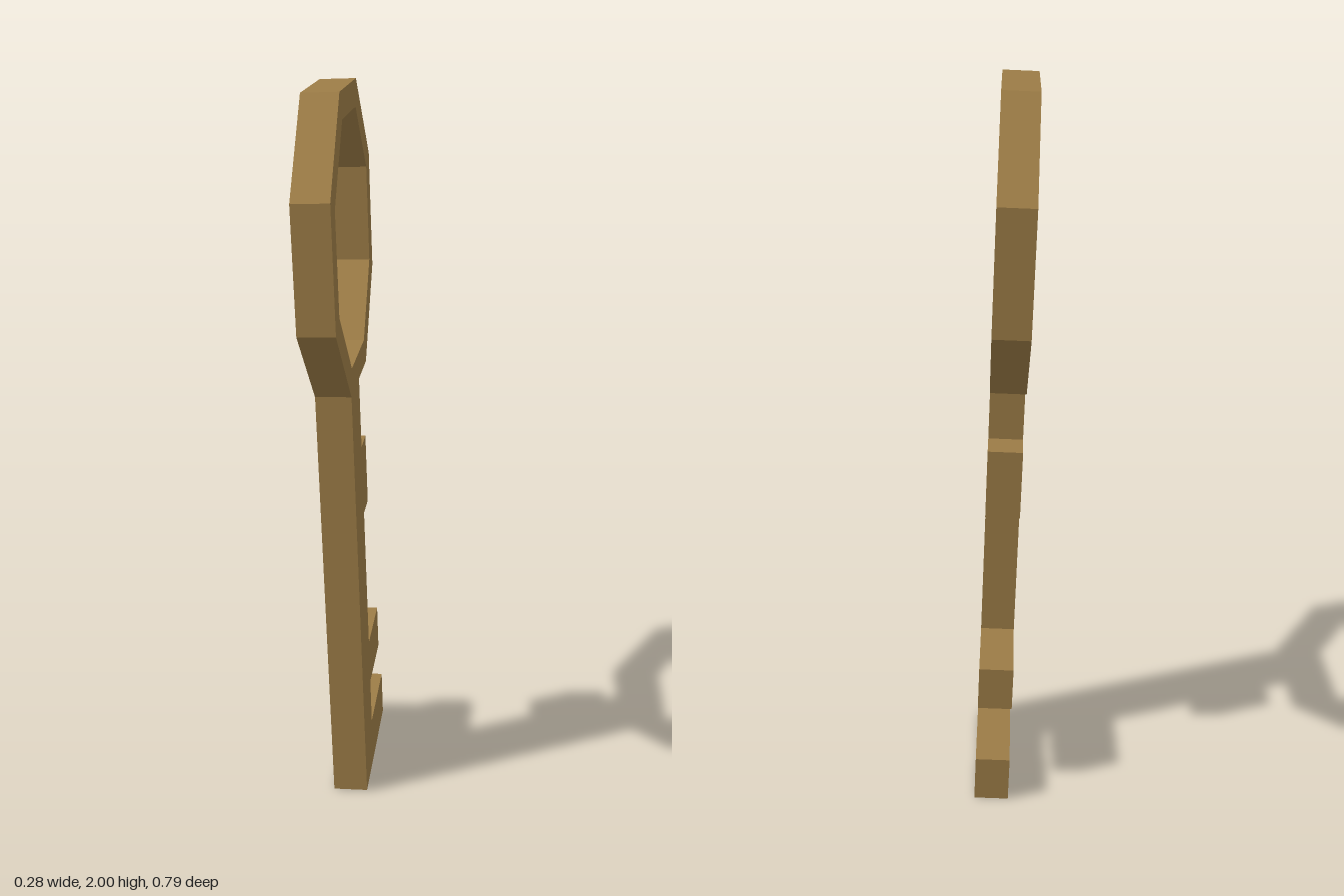
import * as THREE from 'three';

// Octagon corners with flat sides up, starting at the lower right, counterclockwise
function octagon(apothem, cy) {
  const r = apothem / Math.cos(Math.PI / 8);
  return Array.from({ length: 8 }, (_, i) => {
    const t = -Math.PI * 3 / 8 + i * Math.PI / 4;
    return new THREE.Vector2(r * Math.cos(t), cy + r * Math.sin(t));
  });
}

export function createModel() {
  const group = new THREE.Group();
  group.name = 'key';
  const bowY = 0.608, bottom = -0.998, depth = 0.097;

  // Bow outline, ending at its lower left corner where the shaft starts
  const bow = octagon(0.39, bowY);
  const shaftLeft = bow[7].x;
  const outline = [...bow, new THREE.Vector2(shaftLeft, bottom)];

  // Teeth up the right side of the shaft: [low, high, reach]
  const teeth = [[bottom, -0.863, 0.279], [-0.727, -0.597, 0.222], [-0.182, 0.018, 0.091]];
  teeth.forEach(([low, high, reach], i) => {
    if (i > 0) outline.push(new THREE.Vector2(0, low));
    outline.push(new THREE.Vector2(reach, low), new THREE.Vector2(reach, high), new THREE.Vector2(0, high));
  });
  outline.push(new THREE.Vector2(0, bow[0].y));

  const shape = new THREE.Shape(outline);
  shape.holes.push(new THREE.Path(octagon(0.32, bowY).reverse()));
  const geometry = new THREE.ExtrudeGeometry(shape, { depth, bevelEnabled: false });
  geometry.translate(0, 0, -depth / 2);

  // Stand the flat key up, turned sideways and leaning slightly
  const up = new THREE.Vector3(-0.041, 1, 0.008).normalize();
  const face = new THREE.Vector3(0.977, 0.042, -0.21);
  const across = new THREE.Vector3().crossVectors(up, face).normalize();
  face.crossVectors(across, up);
  geometry.applyMatrix4(new THREE.Matrix4().makeBasis(across, up, face).setPosition(0.014, 1, -0.002));

  const material = new THREE.MeshStandardMaterial({ color: 0x9c7c46, flatShading: true });
  const mesh = new THREE.Mesh(geometry, material);
  mesh.name = 'keyBody';
  group.add(mesh);
  return group;
}
